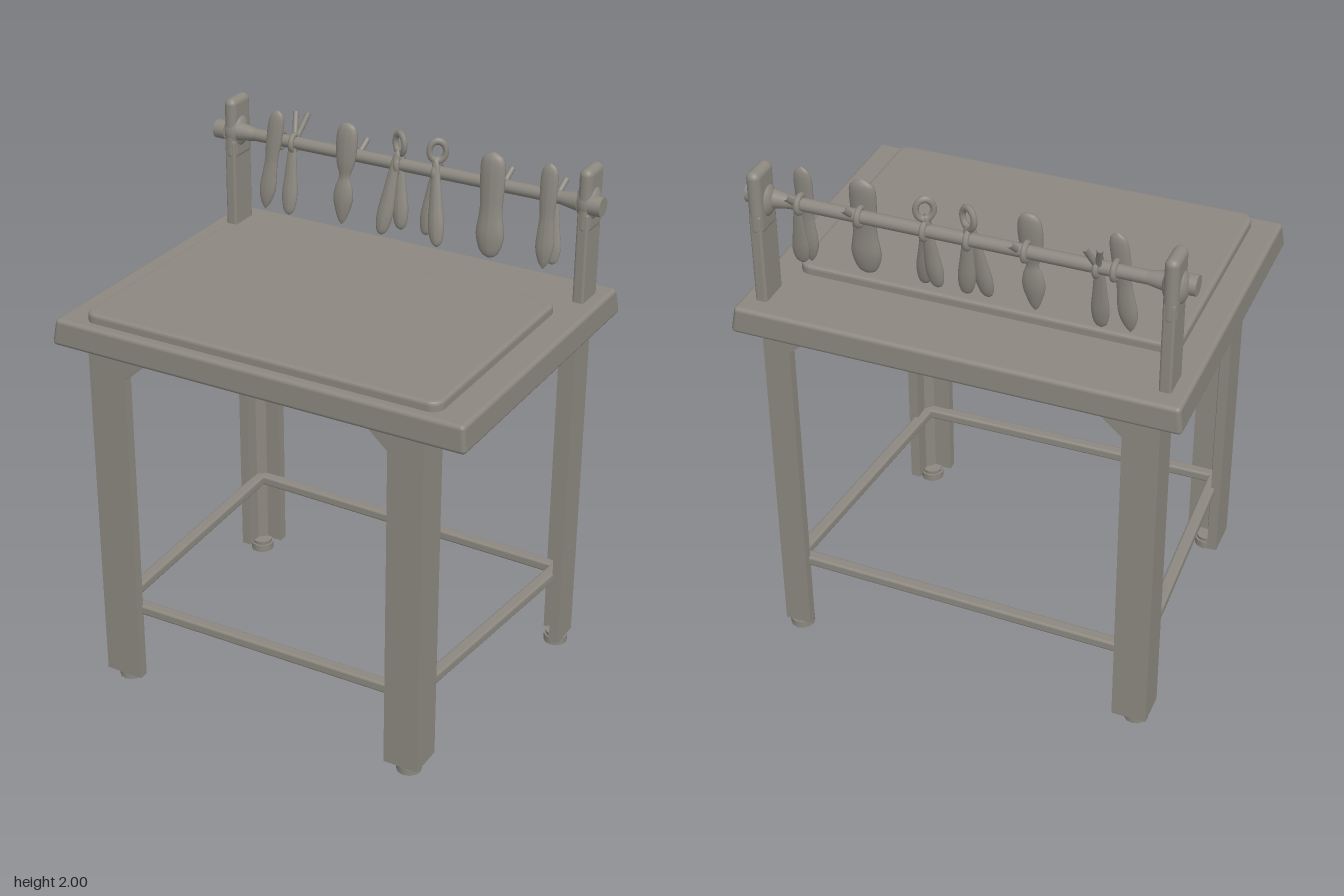
import * as THREE from 'three';
import { RoundedBoxGeometry } from 'three/addons/geometries/RoundedBoxGeometry.js';

export function createModel() {
  const model = new THREE.Group();
  model.name = 'workbench';
  const steel = new THREE.MeshStandardMaterial({ color: 0x8c8880 });
  steel.name = 'warm grey steel';

  const add = (name, geometry, x = 0, y = 0, z = 0) => {
    const mesh = new THREE.Mesh(geometry, steel);
    mesh.name = name;
    mesh.position.set(x, y, z);
    model.add(mesh);
    return mesh;
  };
  const polygon = pts => new THREE.Shape(pts.map(p => new THREE.Vector2(p[0], p[1])));
  const rod = (name, a, b, r) => add(name, new THREE.TubeGeometry(
    new THREE.LineCurve3(new THREE.Vector3(...a), new THREE.Vector3(...b)), 1, r, 12));

  // Table top, a little wider at its lower edge
  const top = new RoundedBoxGeometry(1.625, 0.1, 1.24, 3, 0.016);
  const tp = top.attributes.position;
  for (let i = 0; i < tp.count; i++) {
    if (tp.getY(i) > 0) tp.setXYZ(i, tp.getX(i) * 0.988, tp.getY(i), tp.getZ(i) * 0.988);
  }
  add('tableTop', top, -0.002, 1.45, 0);

  // Raised work panel with rounded corners
  const panel = new THREE.Shape();
  const [px, pz, pr] = [0.683, 0.438, 0.03];
  panel.absarc(px - pr, pz - pr, pr, 0, Math.PI / 2);
  panel.absarc(-px + pr, pz - pr, pr, Math.PI / 2, Math.PI);
  panel.absarc(-px + pr, -pz + pr, pr, Math.PI, Math.PI * 1.5);
  panel.absarc(px - pr, -pz + pr, pr, Math.PI * 1.5, Math.PI * 2);
  const panelGeo = new THREE.ExtrudeGeometry(panel, {
    depth: 0.03, bevelThickness: 0.012, bevelSize: 0.014, bevelSegments: 3, curveSegments: 6 });
  add('workPanel', panelGeo.rotateX(-Math.PI / 2), -0.007, 1.493, 0.123);

  // Angle-section legs with feet and corner braces
  // outer corner x, z; flange widths along x and z; foot centre
  const legs = [
    { x: -0.69, z: 0.577, w: 0.15, d: 0.147, fx: -0.625, fz: 0.515 },
    { x: 0.635, z: 0.565, w: 0.135, d: 0.135, fx: 0.575, fz: 0.51 },
    { x: 0.73, z: -0.545, w: 0.1, d: 0.125, fx: 0.685, fz: -0.5 },
    { x: -0.73, z: -0.577, w: 0.13, d: 0.13, fx: -0.675, fz: -0.515 },
  ];
  const t = 0.038;
  for (const l of legs) {
    const sx = -Math.sign(l.x), sz = -Math.sign(l.z);
    const c = t + 0.03;
    const section = [[0, 0], [l.w, 0], [l.w, t], [c, t], [t, c], [t, l.d], [0, l.d]];
    const leg = new THREE.ExtrudeGeometry(
      polygon(section.map(([a, b]) => [l.x + sx * a, -(l.z + sz * b)])),
      { depth: 1.36, bevelEnabled: false });
    add('leg', leg.rotateX(-Math.PI / 2), 0, 0.045, 0);

    add('foot', new THREE.CylinderGeometry(0.046, 0.046, 0.03, 12), l.fx, 0.02, l.fz);
    add('footPad', new THREE.CylinderGeometry(0.04, 0.036, 0.05, 12), l.fx, 0.025, l.fz);

    // Brace along the front or back edge, then along the side
    const bx = l.x + sx * (l.w - 0.01), bz = l.z + sz * (l.d - 0.01);
    const opts = { depth: t, bevelEnabled: false };
    const braceX = new THREE.ExtrudeGeometry(
      polygon([[bx, 1.405], [bx + sx * 0.11, 1.405], [bx + sx * 0.09, 1.38], [bx, 1.3]]), opts);
    add('legBrace', braceX, 0, 0, sz > 0 ? l.z : l.z - t);
    const braceZ = new THREE.ExtrudeGeometry(
      polygon([[-bz, 1.405], [-bz - sz * 0.11, 1.405], [-bz - sz * 0.09, 1.38], [-bz, 1.3]]), opts);
    add('legBrace', braceZ.rotateY(Math.PI / 2), sx > 0 ? l.x : l.x - t, 0, 0);
  }

  // Lower stretchers from leg to leg
  legs.forEach((a, i) => {
    const b = legs[(i + 1) % 4];
    const inset = l => [l.x - Math.sign(l.x) * 0.05, l.z - Math.sign(l.z) * 0.05];
    const [ax, az] = inset(a), [bx, bz] = inset(b);
    const length = Math.hypot(bx - ax, bz - az) + 0.03;
    const bar = add('stretcher', new RoundedBoxGeometry(length, 0.04, 0.046, 2, 0.01),
      (ax + bx) / 2, 0.335, (az + bz) / 2);
    bar.rotation.y = -Math.atan2(bz - az, bx - ax);
  });

  // Rack posts, collars, end knobs and rail
  const railY = 1.87, railZ = -0.455;
  for (const s of [-1, 1]) {
    add('rackPost', new RoundedBoxGeometry(0.044, 0.36, 0.12, 2, 0.01), s * 0.727, 1.66, -0.48);
    add('rackPostHead', new RoundedBoxGeometry(0.05, 0.24, 0.124, 4, 0.024), s * 0.727, 1.88, -0.48);
    add('rackCollar', new THREE.SphereGeometry(1, 16, 12), s * 0.727, railY, -0.47).scale.set(0.045, 0.07, 0.055);
    const knob = add('railKnob', new THREE.CylinderGeometry(0.036, 0.036, 0.045, 16), s * 0.77, railY, -0.445);
    knob.rotation.z = Math.PI / 2;
    const flare = add('railFlare', new THREE.CylinderGeometry(0.022, 0.036, 0.08, 16), s * 0.66, railY, railZ);
    flare.rotation.z = -s * -Math.PI / 2;
  }
  rod('rackRail', [-0.75, railY, railZ], [0.75, railY, railZ], 0.024);

  // Hanging tools: flattened turned forms leaning from top point to bottom point.
  // Profile rows are [half width, fraction of height from the bottom].
  const tool = (name, a, b, profile, flat = 0.45) => {
    const geo = new THREE.LatheGeometry(
      new THREE.SplineCurve(profile.map(p => new THREE.Vector2(p[0], p[1]))).getPoints(24)
        .map(p => new THREE.Vector2(Math.max(p.x, 0), p.y)), 14);
    const pos = geo.attributes.position;
    for (let i = 0; i < pos.count; i++) {
      const k = pos.getY(i);
      pos.setXYZ(i, pos.getX(i) + b[0] + (a[0] - b[0]) * k, b[1] + (a[1] - b[1]) * k,
        pos.getZ(i) * flat + b[2] + (a[2] - b[2]) * k);
    }
    geo.computeVertexNormals();
    return add(name, geo);
  };
  const slim = [[0, 0], [0.022, 0.06], [0.032, 0.25], [0.026, 0.5], [0.018, 0.8], [0.012, 0.95], [0, 1]];
  const knife = [[0, 0], [0.02, 0.07], [0.034, 0.2], [0.03, 0.38], [0.027, 0.5], [0.033, 0.7], [0.03, 0.93], [0, 1]];
  const trowel = [[0, 0], [0.018, 0.06], [0.04, 0.24], [0.034, 0.38], [0.022, 0.48], [0.038, 0.62], [0.044, 0.85], [0.03, 0.97], [0, 1]];
  const broad = [[0, 0], [0.035, 0.05], [0.055, 0.22], [0.044, 0.45], [0.048, 0.7], [0.044, 0.93], [0, 1]];

  tool('slantedKnife', [-0.515, 1.995, -0.43], [-0.56, 1.605, -0.4], knife);
  tool('chisel', [-0.462, 1.9, -0.45], [-0.457, 1.6, -0.4], slim);
  tool('trowel', [-0.215, 2, -0.43], [-0.227, 1.61, -0.4], trowel);
  tool('spatula', [0.375, 2, -0.43], [0.385, 1.61, -0.395], broad);
  tool('file', [0.595, 2, -0.43], [0.595, 1.61, -0.4], knife);
  tool('fileBack', [0.6, 1.86, -0.47], [0.615, 1.62, -0.43], slim, 0.4);

  // Chisel hook prongs
  rod('hookProng', [-0.462, 1.87, -0.46], [-0.485, 1.97, -0.51], 0.011);
  rod('hookProng', [-0.462, 1.87, -0.46], [-0.437, 1.97, -0.52], 0.011);

  // Two pairs of shears with a loop handle
  for (const [x, s] of [[-0.014, -1], [0.14, 1]]) {
    const loop = add('shearLoop', new THREE.TorusGeometry(0.03, 0.011, 8, 20), x, 1.95, -0.455);
    loop.scale.y = 1.25;
    loop.rotation.y = s * 0.5;
    tool('shearBlade', [x, 1.93, -0.44], [x + s * 0.038, 1.61, -0.385], slim, 0.6);
    tool('shearBlade', [x, 1.93, -0.46], [x - s * 0.025, 1.63, -0.42], slim, 0.6);
  }

  // Small hooks that tie each tool to the rail
  for (const x of [-0.52, -0.46, -0.215, -0.014, 0.14, 0.375, 0.595]) {
    const hook = add('toolHook', new THREE.TorusGeometry(0.03, 0.011, 8, 16), x, railY, railZ);
    hook.rotation.y = Math.PI / 2;
  }
  for (const x of [-0.19, 0.4, 0.61]) {
    rod('hookTail', [x, railY, -0.46], [x + 0.012, 1.92, -0.51], 0.011);
  }
  return model;
}
